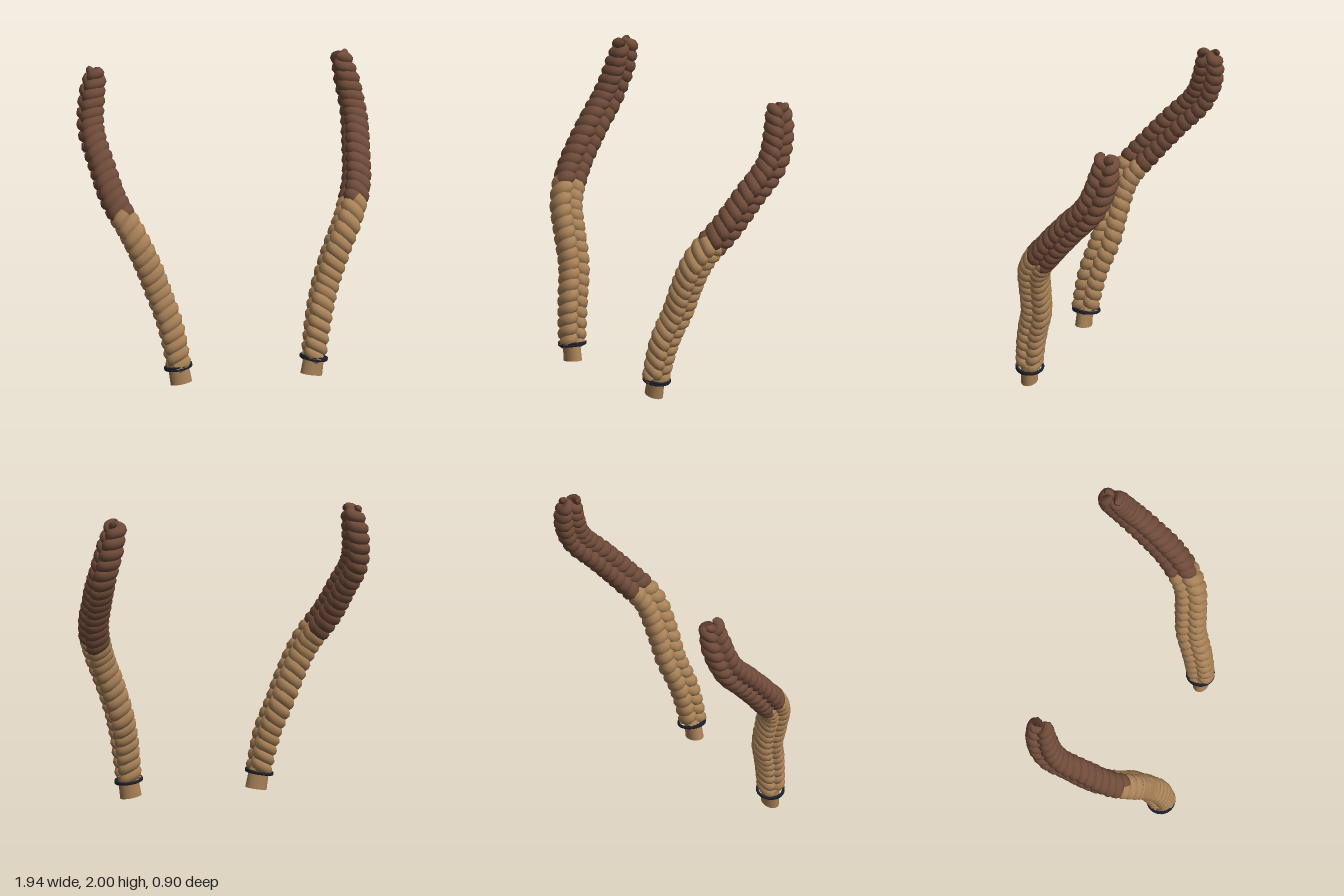
import * as THREE from 'three';

const material = (name, color) => {
  const m = new THREE.MeshStandardMaterial({ color });
  m.name = name;
  return m;
};

// Centre line of the braid on the +x side, from root to tip
const PATH = [
  [0.44, 0.012, 0.366], [0.46, 0.13, 0.361], [0.508, 0.4, 0.32], [0.57, 0.6, 0.262],
  [0.643, 0.8, 0.24], [0.733, 1.0, 0.203], [0.825, 1.2, 0.064], [0.866, 1.4, -0.096],
  [0.893, 1.6, -0.266], [0.868, 1.8, -0.342], [0.828, 1.98, -0.365],
];
const PERIODS = 10.7;
const START = 0.05; // where the plait begins
const SPLIT = 0.525; // where the colour changes

// Half-thickness of the plait along its length
const thickness = (u) => {
  const keys = [[0, 0.08], [0.15, 0.09], [0.35, 0.097], [0.55, 0.1], [0.75, 0.096], [0.92, 0.094], [1, 0.074]];
  let i = 0;
  while (i < keys.length - 2 && u > keys[i + 1][0]) i++;
  const [a, ra] = keys[i], [b, rb] = keys[i + 1];
  return THREE.MathUtils.lerp(ra, rb, (u - a) / (b - a));
};

// One of three strands weaving a figure of eight around the centre line
class StrandCurve extends THREE.Curve {
  constructor(path, side, phase, from, to) {
    super();
    Object.assign(this, { path, side, phase, from, to });
  }
  getUtoTmapping(u) { return u; }
  along(t) { return THREE.MathUtils.lerp(this.from, this.to, t); }
  angle(t) { return this.along(t) * PERIODS * Math.PI * 2 + this.phase; }
  getPoint(t, target = new THREE.Vector3()) {
    const u = this.along(t), a = this.angle(t), h = thickness(u);
    const tangent = this.path.getTangentAt(u);
    const wide = new THREE.Vector3(0, 0, 1).addScaledVector(tangent, -tangent.z).normalize();
    const out = new THREE.Vector3().crossVectors(tangent, wide).multiplyScalar(this.side);
    // the plait is slightly flatter and wider toward the tip
    return target.copy(this.path.getPointAt(u))
      .addScaledVector(wide, h * (0.57 + 0.07 * u) * Math.sin(a))
      .addScaledVector(out, h * (0.48 - 0.1 * u) * Math.sin(2 * a));
  }
}

// Tube whose radius swells on the outer bends and closes at a loose tip
function strandGeometry(curve, closed) {
  const segments = Math.round((curve.to - curve.from) * PERIODS * 30), radial = 10;
  const geo = new THREE.TubeGeometry(curve, segments, 1, radial, false);
  const pos = geo.attributes.position, v = new THREE.Vector3(), c = new THREE.Vector3();
  for (let i = 0; i <= segments; i++) {
    const t = i / segments, u = curve.along(t);
    curve.getPoint(t, c);
    let r = thickness(u) * (0.47 + 0.055 * Math.cos(2 * curve.angle(t) + 2.2));
    if (closed) {
      const k = Math.min(1, (1 - u) / 0.014);
      r *= Math.sqrt(1 - (1 - k) ** 2);
    }
    for (let j = 0; j <= radial; j++) {
      const n = i * (radial + 1) + j;
      v.fromBufferAttribute(pos, n).sub(c).multiplyScalar(r).add(c);
      pos.setXYZ(n, v.x, v.y, v.z);
    }
  }
  return geo;
}

function createBraid(side, mats) {
  const braid = new THREE.Group();
  braid.name = side > 0 ? 'leftBraid' : 'rightBraid';
  const path = new THREE.CatmullRomCurve3(PATH.map(([x, y, z]) => new THREE.Vector3(side * x, y, z)));
  const add = (name, geo, mat) => {
    const mesh = new THREE.Mesh(geo, mat);
    mesh.name = name;
    braid.add(mesh);
    return mesh;
  };

  // Woven strands, light below and dark above
  for (let k = 0; k < 3; k++) {
    const phase = (k * Math.PI * 2) / 3;
    add('lowerStrand' + (k + 1), strandGeometry(new StrandCurve(path, side, phase, START, SPLIT), false), mats.light);
    add('upperStrand' + (k + 1), strandGeometry(new StrandCurve(path, side, phase, SPLIT, 1), true), mats.dark);
  }

  // Plain oval root
  const axis = path.getTangentAt(0.03);
  const up = new THREE.Vector3(0, 1, 0);
  const root = add('root', new THREE.CylinderGeometry(0.067, 0.073, 0.15, 24), mats.light);
  root.geometry.scale(1, 1, 0.72);
  root.quaternion.setFromUnitVectors(up, axis);
  root.position.copy(path.getPointAt(0)).addScaledVector(axis, 0.075);

  // Doubled elastic tie, its loops almost together
  [[-0.003, 0.02], [0.006, -0.06]].forEach(([shift, tilt], i) => {
    const tie = add('tie' + (i + 1), new THREE.TorusGeometry(0.086, 0.009, 8, 36), mats.tie);
    tie.geometry.rotateX(Math.PI / 2 + tilt);
    tie.quaternion.setFromUnitVectors(up, axis);
    tie.position.copy(path.getPointAt(START)).addScaledVector(axis, shift);
    tie.position.z -= 0.006;
  });
  return braid;
}

export function createModel() {
  const mats = {
    light: material('lightHair', 0xa98258),
    dark: material('darkHair', 0x6f4b39),
    tie: material('hairTie', 0x1d202c),
  };
  mats.light.side = mats.dark.side = THREE.DoubleSide; // strands are open where they join
  const model = new THREE.Group();
  model.name = 'braids';
  model.add(createBraid(1, mats), createBraid(-1, mats));
  return model;
}
